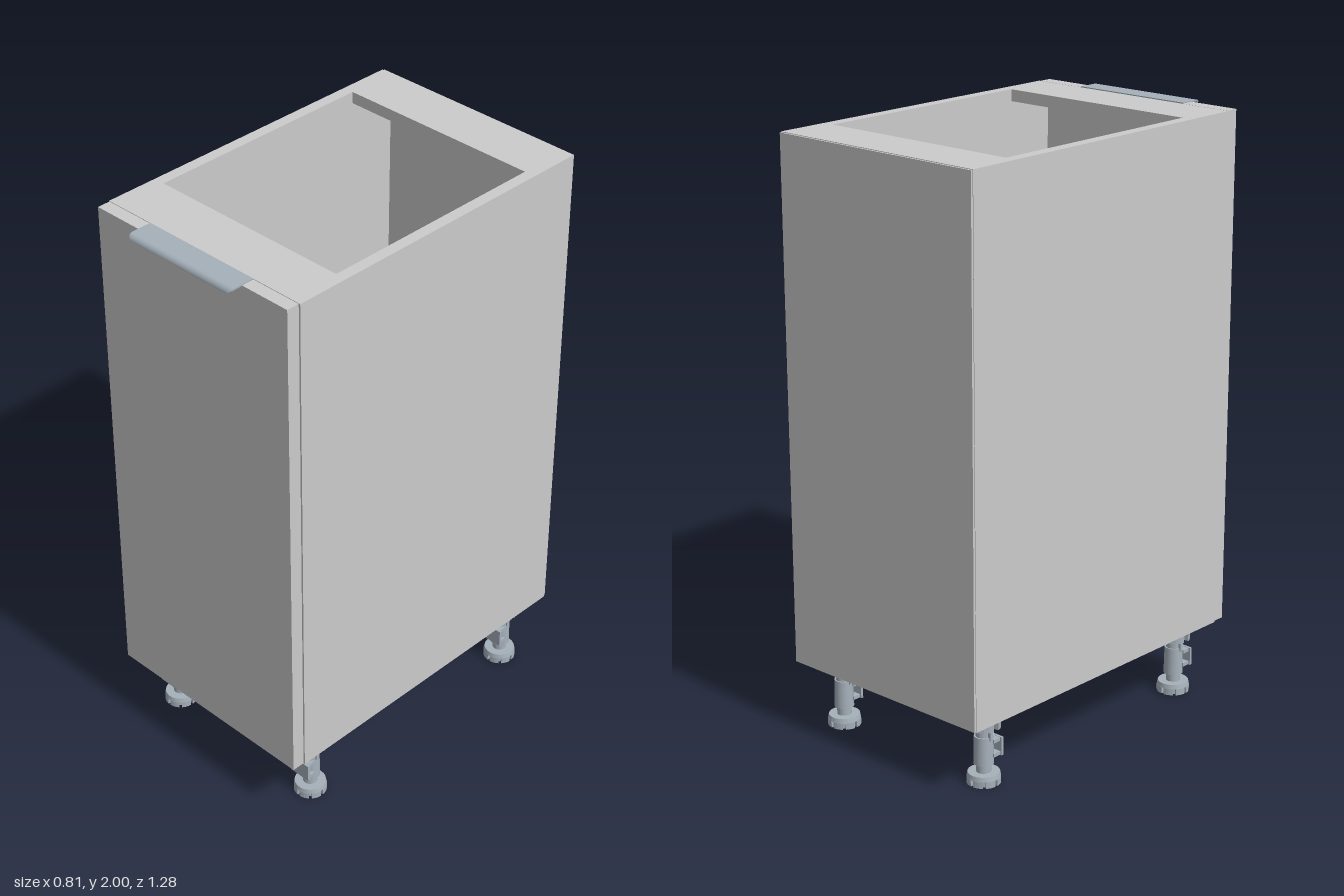
import * as THREE from 'three';

const grey = new THREE.MeshStandardMaterial({ color: 0xcccccc });
const metal = new THREE.MeshStandardMaterial({ color: 0xa6b1ba });

function add(parent, name, geometry, material, x = 0, y = 0, z = 0) {
  const mesh = new THREE.Mesh(geometry, material);
  mesh.name = name;
  mesh.position.set(x, y, z);
  parent.add(mesh);
  return mesh;
}

// Box given by its low and high limits on each axis
function panel(parent, name, [x0, x1], [y0, y1], [z0, z1], material = grey) {
  return add(parent, name, new THREE.BoxGeometry(x1 - x0, y1 - y0, z1 - z0), material,
    (x0 + x1) / 2, (y0 + y1) / 2, (z0 + z1) / 2);
}

// Upright cylinder between two heights
function post(parent, name, radius, y0, y1, topRadius = radius) {
  return add(parent, name, new THREE.CylinderGeometry(topRadius, radius, y1 - y0, 24), metal, 0, (y0 + y1) / 2, 0);
}

// Disc with square notches around its rim
function notchedDisc(radius, inner, height, notches, share) {
  const shape = new THREE.Shape();
  const step = (Math.PI * 2) / notches;
  for (let i = 0; i < notches; i++) {
    const start = (i + share / 2) * step;
    const end = (i + 1 - share / 2) * step;
    for (let k = 0; k <= 4; k++) {
      const a = start + ((end - start) * k) / 4;
      shape.lineTo(radius * Math.cos(a), radius * Math.sin(a));
    }
    for (const a of [end, end + share * step]) shape.lineTo(inner * Math.cos(a), inner * Math.sin(a));
  }
  // Drop the implicit first segment from the origin
  const outline = new THREE.Shape(shape.getPoints().filter((p) => p.length() > inner / 2));
  return new THREE.ExtrudeGeometry(outline, { depth: height, bevelEnabled: false }).rotateX(-Math.PI / 2);
}

// Adjustable leg with a plinth clip on its front
function makeLeg(name, x, z) {
  const leg = new THREE.Group();
  leg.name = name;
  leg.position.set(x, 0, z);
  add(leg, 'footPad', notchedDisc(0.055, 0.044, 0.022, 8, 0.22), metal);
  post(leg, 'footRim', 0.055, 0.022, 0.037, 0.052);
  post(leg, 'footNeck', 0.024, 0.037, 0.07);
  post(leg, 'legBody', 0.033, 0.065, 0.16, 0.031);
  post(leg, 'legShaft', 0.026, 0.16, 0.2);
  add(leg, 'socket', notchedDisc(0.055, 0.036, 0.042, 4, 0.25), metal, 0, 0.19, 0);
  post(leg, 'mountingPlate', 0.061, 0.228, 0.238);
  panel(leg, 'clipPlate', [-0.04, 0.04], [0.088, 0.15], [0.04, 0.049], metal);
  for (const y of [0.095, 0.143])
    panel(leg, 'clipArm', [-0.034, 0.034], [y - 0.006, y + 0.006], [0.012, 0.042], metal);
  for (const s of [-1, 1])
    panel(leg, 'bodyRib', [s * 0.03 - 0.005, s * 0.03 + 0.005], [0.15, 0.19], [-0.006, 0.006], metal);
  return leg;
}

// Flat plate whose front edge curls down with rounded corners
function handleGeometry() {
  const width = 0.436, thick = 0.005, flat = 0.07, bend = 0.017;
  const length = flat + (bend * Math.PI) / 2, round = 0.024;
  const geometry = new THREE.BoxGeometry(width, thick, length, 1, 1, 40);
  const pos = geometry.attributes.position;
  for (let i = 0; i < pos.count; i++) {
    const s = pos.getZ(i) + length / 2;
    const t = pos.getY(i);
    const c = Math.max(0, s - (length - round));
    const inset = round - Math.sqrt(Math.max(0, round * round - c * c));
    const a = Math.max(0, s - flat) / bend;
    const x = Math.sign(pos.getX(i)) * (width / 2 - inset);
    pos.setXYZ(i, x, -bend + (bend + t) * Math.cos(a), Math.min(s, flat) + (bend + t) * Math.sin(a));
  }
  geometry.computeVertexNormals();
  return geometry;
}

export function createModel() {
  const model = new THREE.Group();
  model.name = 'baseCabinet';
  const bottom = 0.238, top = 1.997, inner = 0.365, outer = 0.404;
  const back = -0.632, front = 0.548;

  // Carcass
  panel(model, 'leftSide', [inner, outer], [bottom, top], [back, front]);
  panel(model, 'rightSide', [-outer, -inner], [bottom, top], [back, front]);
  panel(model, 'bottomPanel', [-inner, inner], [bottom, bottom + 0.04], [back, front]);
  panel(model, 'backRail', [-inner, inner], [top - 0.04, top], [back, -0.452]);
  panel(model, 'frontRail', [-inner, inner], [top - 0.04, top], [0.365, front]);
  panel(model, 'backPanel', [-0.402, 0.402], [bottom + 0.002, top - 0.002], [-0.639, back]);

  // Door and its edge pull
  panel(model, 'door', [-0.4, 0.4], [bottom + 0.002, top], [0.55, 0.595]);
  add(model, 'handle', handleGeometry(), metal, 0, 1.9975, 0.55);

  // Four legs
  for (const [side, x] of [['Left', 0.317], ['Right', -0.317]]) {
    model.add(makeLeg('front' + side + 'Leg', x, 0.438));
    model.add(makeLeg('back' + side + 'Leg', x, -0.508));
  }
  return model;
}
